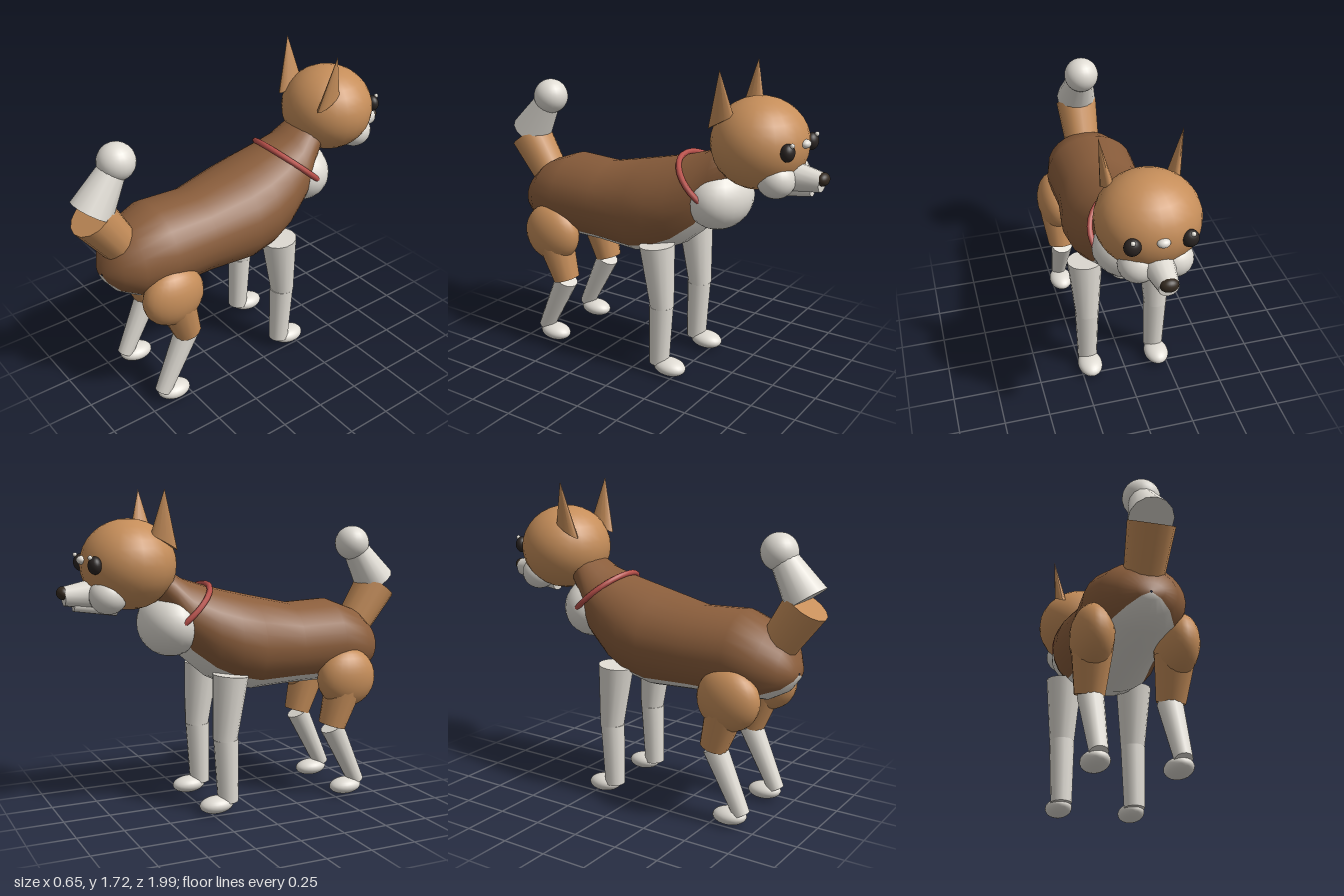
import * as THREE from 'three';

const mat = (name, color) => {
  const m = new THREE.MeshStandardMaterial({ color });
  m.name = name;
  return m;
};

export function createModel() {
  const tan = mat('tan fur', 0xc68e5a);
  const brown = mat('brown fur', 0x8b5e3c);
  const white = mat('white fur', 0xe0dcd4);
  const red = mat('red collar', 0xb8504a);
  const dark = mat('dark eyes', 0x2a2422);
  const noseColor = mat('nose', 0x33291f);

  const dog = new THREE.Group();
  dog.name = 'dog';

  const add = (name, geometry, material) => {
    const m = new THREE.Mesh(geometry, material);
    m.name = name;
    dog.add(m);
    return m;
  };

  // Ellipsoid at p with radii r
  const ball = (name, p, r, material, tilt = 0) => {
    const m = add(name, new THREE.SphereGeometry(1, 24, 16), material);
    m.position.set(...p);
    m.scale.set(...r);
    m.rotation.x = tilt;
    return m;
  };

  // Tapered cylinder running from a to b
  const limb = (name, a, b, ra, rb, material, sides = 14) => {
    const A = new THREE.Vector3(...a), B = new THREE.Vector3(...b);
    const dir = B.clone().sub(A);
    const m = add(name, new THREE.CylinderGeometry(rb, ra, dir.length(), sides), material);
    m.position.copy(A).add(B).multiplyScalar(0.5);
    m.quaternion.setFromUnitVectors(new THREE.Vector3(0, 1, 0), dir.normalize());
    return m;
  };

  // Body and neck: elliptical sections [z, top, bottom, half width], white belly
  const sections = [
    [0.862, 0.82, 0.81, 0.005],
    [0.855, 0.87, 0.775, 0.07],
    [0.81, 0.97, 0.715, 0.15],
    [0.72, 1.05, 0.665, 0.22],
    [0.55, 1.115, 0.65, 0.26],
    [0.3, 1.105, 0.648, 0.25],
    [0.05, 1.16, 0.637, 0.285],
    [-0.08, 1.19, 0.665, 0.28],
    [-0.2, 1.22, 0.725, 0.255],
    [-0.33, 1.262, 0.835, 0.21],
    [-0.41, 1.31, 1.02, 0.165],
    [-0.5, 1.33, 1.15, 0.12],
    [-0.51, 1.25, 1.24, 0.005],
  ];
  const N = 24;
  const positions = [];
  for (const [z, top, bottom, w] of sections) {
    for (let i = 0; i < N; i++) {
      const a = (i / N) * Math.PI * 2;
      positions.push(w * Math.sin(a), (top + bottom) / 2 - ((top - bottom) / 2) * Math.cos(a), z);
    }
  }
  const belly = [], back = [];
  for (let j = 0; j < sections.length - 1; j++) {
    for (let i = 0; i < N; i++) {
      const k = (i + 1) % N;
      const a = j * N + i, b = a + N, c = j * N + k, d = c + N;
      (i < 3 || i >= N - 3 ? belly : back).push(a, b, c, c, b, d);
    }
  }
  const bodyGeo = new THREE.BufferGeometry();
  bodyGeo.setAttribute('position', new THREE.Float32BufferAttribute(positions, 3));
  bodyGeo.setIndex([...belly, ...back]);
  bodyGeo.addGroup(0, belly.length, 0);
  bodyGeo.addGroup(belly.length, back.length, 1);
  bodyGeo.computeVertexNormals();
  add('body', bodyGeo, [white, brown]);

  ball('chest', [0, 1.025, -0.4], [0.22, 0.175, 0.168], white);

  // Collar, tilted around the neck
  const collar = add('collar', new THREE.TorusGeometry(0.213, 0.016, 8, 32), red);
  collar.position.set(0, 1.085, -0.345);
  collar.rotation.x = Math.PI / 2 - Math.atan2(-0.14, 0.16) - Math.PI / 2 + Math.PI / 4 - Math.PI / 2;
  collar.rotation.x = -Math.atan2(-0.155, 0.14);

  // Head and face
  ball('head', [0, 1.345, -0.62], [0.26, 0.235, 0.25], tan);
  limb('muzzle', [0, 1.2, -0.8], [0, 1.193, -0.965], 0.08, 0.05, white);
  limb('lowerJaw', [0, 1.125, -0.69], [0, 1.145, -0.915], 0.046, 0.032, white);
  ball('nose', [0, 1.21, -0.968], [0.045, 0.034, 0.032], noseColor);
  ball('foreheadSpot', [0, 1.373, -0.867], [0.032, 0.022, 0.026], white);

  for (const s of [1, -1]) {
    const side = s > 0 ? 'left' : 'right';
    ball(side + 'Cheek', [s * 0.085, 1.193, -0.757], [0.1, 0.094, 0.098], white);
    ball(side + 'Eye', [s * 0.137, 1.353, -0.837], [0.042, 0.045, 0.035], dark);
    ball(side + 'EyeHighlight', [s * 0.142, 1.392, -0.862], [0.012, 0.012, 0.012], white);

    // Ear: flattened cone with a sloping base
    const earGeo = new THREE.ConeGeometry(1, 1, 12);
    const p = earGeo.attributes.position;
    for (let i = 0; i < p.count; i++) {
      const t = p.getY(i) + 0.5, x = p.getX(i), z = p.getZ(i);
      p.setXYZ(i, s * (0.162 + 0.042 * t) + x * 0.032,
        1.46 + 0.27 * t - z * 0.04, -0.482 - 0.01 * t + z * 0.072);
    }
    earGeo.computeVertexNormals();
    add(side + 'Ear', earGeo, tan);

    // Front leg
    limb(side + 'FrontUpperLeg', [s * 0.2, 0.757, -0.132], [s * 0.2, 0.405, -0.165], 0.097, 0.066, white);
    limb(side + 'FrontLowerLeg', [s * 0.2, 0.41, -0.16], [s * 0.2, 0.065, -0.147], 0.067, 0.056, white);
    ball(side + 'FrontPaw', [s * 0.2, 0.055, -0.215], [0.07, 0.046, 0.095], white, -0.05);

    // Back leg
    ball(side + 'Thigh', [s * 0.215, 0.688, 0.575], [0.108, 0.166, 0.175], tan);
    limb(side + 'BackUpperLeg', [s * 0.21, 0.64, 0.56], [s * 0.205, 0.418, 0.492], 0.105, 0.076, tan);
    limb(side + 'BackLowerLeg', [s * 0.2, 0.41, 0.495], [s * 0.2, 0.075, 0.66], 0.066, 0.045, white);
    ball(side + 'BackPaw', [s * 0.2, 0.055, 0.59], [0.07, 0.046, 0.095], white, -0.05);
  }

  // Tail
  limb('tailBase', [0, 0.945, 0.735], [0, 1.175, 0.89], 0.1, 0.12, tan);
  limb('tailUpper', [0, 1.2, 0.885], [0, 1.425, 0.73], 0.116, 0.065, white);
  ball('tailTip', [0, 1.425, 0.73], [0.098, 0.098, 0.098], white);

  return dog;
}
